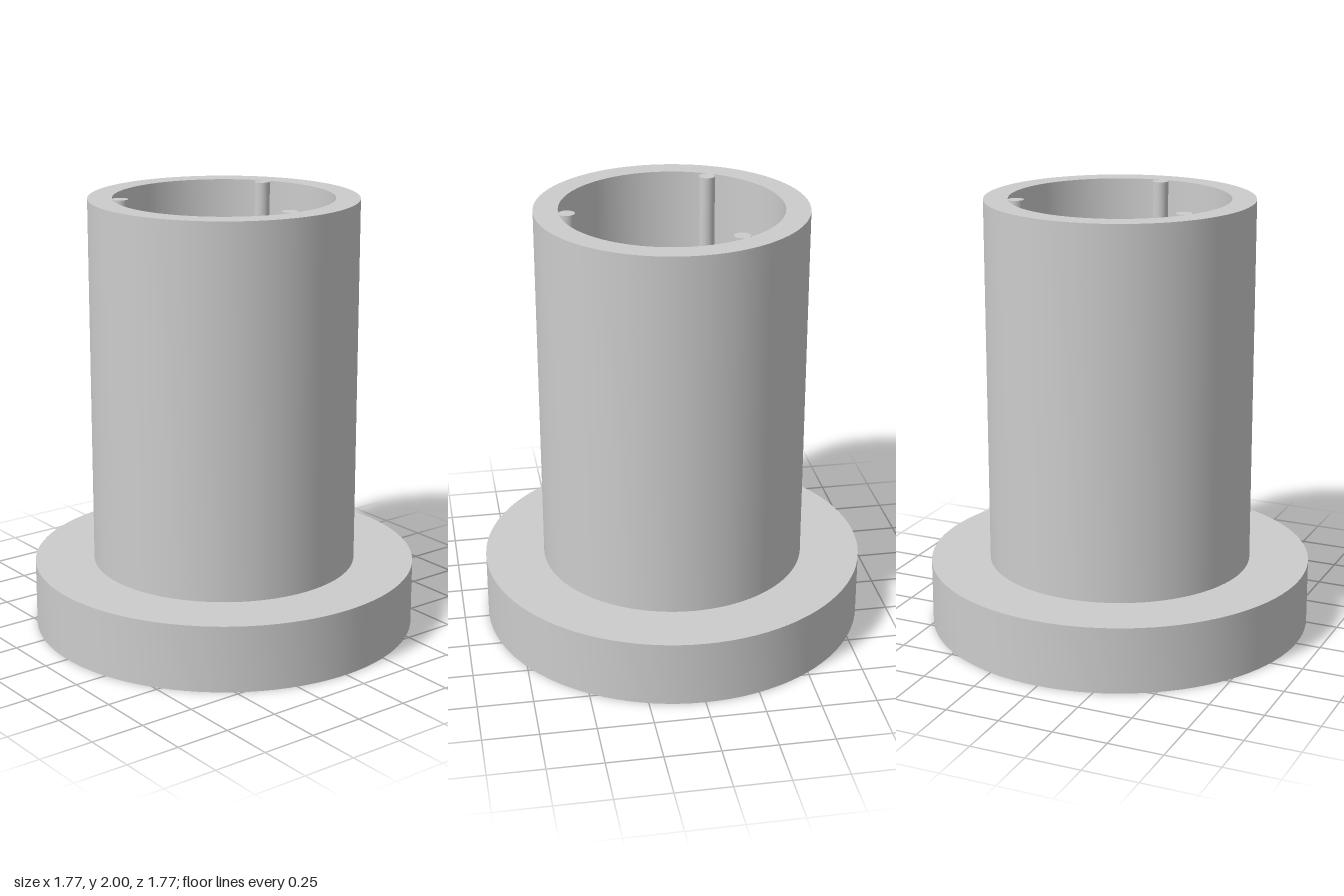
import * as THREE from 'three';
import { toCreasedNormals } from 'three/addons/utils/BufferGeometryUtils.js';

const BORE = 0.5, TUBE = 0.61, FLANGE = 0.885, STEP = 0.305, TOP = 2;

export function createModel() {
  const model = new THREE.Group();
  model.name = 'flangedBushing';
  const grey = new THREE.MeshStandardMaterial({ color: 0xcccccc });
  grey.name = 'lightGrey';

  const add = (name, geometry) => {
    const mesh = new THREE.Mesh(geometry, grey);
    mesh.name = name;
    model.add(mesh);
    return mesh;
  };
  const lathe = (profile) => toCreasedNormals(
    new THREE.LatheGeometry(profile.map(([r, y]) => new THREE.Vector2(r, y)), 96), 0.5);

  // Wide base ring: underside, rim and the step up to the tube
  add('flange', lathe([[BORE, 0], [FLANGE, 0], [FLANGE, STEP], [TUBE, STEP]]));

  // Tube: outer wall, top edge and the through bore
  add('tube', lathe([[TUBE, STEP], [TUBE, TOP], [BORE, TOP], [BORE, 0]]));

  // Three round ribs inside the bore, from the flange top to the tube top
  for (let i = 0; i < 3; i++) {
    const a = (i * Math.PI * 2) / 3;
    const rib = add('rib' + (i + 1), new THREE.CylinderGeometry(0.037, 0.037, TOP - STEP, 32));
    rib.position.set(0.465 * Math.cos(a), (TOP + STEP) / 2, 0.465 * Math.sin(a));
  }
  return model;
}
